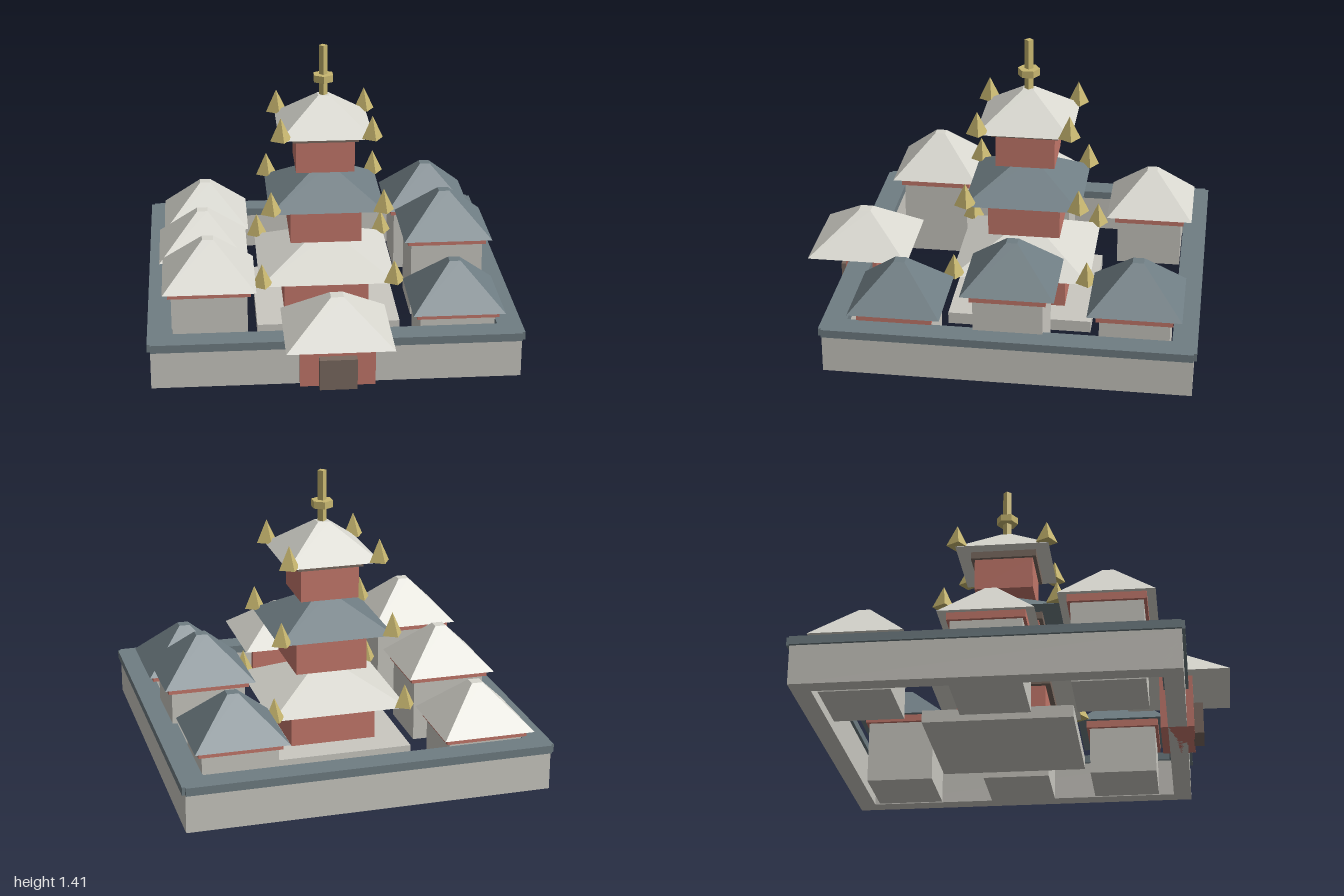
import * as THREE from 'three';

export function createModel() {
  const model = new THREE.Group();
  model.name = 'templeCompound';

  const material = (name, color) => {
    const m = new THREE.MeshStandardMaterial({ color });
    m.name = name;
    m.flatShading = true;
    return m;
  };
  const stone = material('stone', 0xcac8c1);
  const paleTile = material('paleTile', 0xd8d7cf);
  const slateTile = material('slateTile', 0x6f7d83);
  const redWall = material('redWall', 0xc4786b);
  const darkWood = material('darkWood', 0x7b6a60);
  const gold = material('gold', 0xc8b770);

  const CZ = -0.1; // centre of the courtyard

  function add(parent, name, geometry, mat, x, y, z) {
    const mesh = new THREE.Mesh(geometry, mat);
    mesh.name = name;
    mesh.position.set(x, y, z);
    parent.add(mesh);
    return mesh;
  }

  // Box standing on height y
  const block = (parent, name, mat, w, h, d, x, y, z) =>
    add(parent, name, new THREE.BoxGeometry(w, h, d), mat, x, y + h / 2, z);

  // Square hipped roof with a small flat top, its eaves at height y
  function hipRoof(parent, mat, half, h, x, y, z) {
    const r = half * Math.SQRT2;
    const geo = new THREE.CylinderGeometry(r * 0.12, r, h, 4).rotateY(Math.PI / 4);
    return add(parent, 'roof', geo, mat, x, y + h / 2, z);
  }

  function group(name, x, z) {
    const g = new THREE.Group();
    g.name = name;
    g.position.set(x, 0, z);
    model.add(g);
    return g;
  }

  // Perimeter wall with tiled coping
  const perimeter = group('perimeterWall', 0, CZ);
  for (const s of [-1, 1]) {
    block(perimeter, 'wall', stone, 1.77, 0.19, 0.09, 0, 0, s * 0.84);
    block(perimeter, 'wall', stone, 0.09, 0.19, 1.77, s * 0.84, 0, 0);
    block(perimeter, 'wallCoping', slateTile, 1.77, 0.04, 0.12, 0, 0.19, s * 0.84);
    block(perimeter, 'wallCoping', slateTile, 0.12, 0.04, 1.77, s * 0.84, 0.19, 0);
  }

  // Gatehouse
  const gate = group('gatehouse', 0, 0.74);
  block(gate, 'gateBody', redWall, 0.36, 0.26, 0.16, 0, 0, 0);
  block(gate, 'gateDoor', darkWood, 0.18, 0.155, 0.05, 0, 0, 0.1);
  hipRoof(gate, paleTile, 0.255, 0.18, 0, 0.26, 0.005);

  // Three-tier tower on a plinth
  const tower = group('tower', 0, CZ);
  block(tower, 'plinth', stone, 0.72, 0.06, 0.72, 0, 0, 0);
  const tiers = [
    { body: 0.215, eave: 0.24, roof: 0.345, finial: 0.332, mat: paleTile },
    { body: 0.18, eave: 0.2, roof: 0.29, finial: 0.28, mat: slateTile },
    { body: 0.147, eave: 0.165, roof: 0.235, finial: 0.226, mat: paleTile },
  ];
  tiers.forEach((t, i) => {
    const y = 0.06 + i * 0.365;
    block(tower, 'tierBody', redWall, t.body * 2, 0.165, t.body * 2, 0, y, 0);
    block(tower, 'eaveBand', darkWood, t.eave * 2, 0.036, t.eave * 2, 0, y + 0.164, 0);
    hipRoof(tower, t.mat, t.roof, 0.165, 0, y + 0.2, 0);
    // Golden finials on the roof corners
    for (const sx of [-1, 1]) for (const sz of [-1, 1]) {
      const cone = new THREE.ConeGeometry(0.055, 0.115, 4).rotateY(0.25);
      add(tower, 'cornerFinial', cone, gold, sx * t.finial, y + 0.263, sz * t.finial);
    }
  });

  // Spire with a ring
  add(tower, 'spire', new THREE.CylinderGeometry(0.022, 0.022, 0.27, 4), gold, 0, 1.275, 0);
  add(tower, 'spireRing', new THREE.CylinderGeometry(0.055, 0.055, 0.036, 6), gold, 0, 1.243, 0);

  // Side halls: x, z and eave height
  const halls = [
    [0.6, 0.45, 0.275], [0.62, -0.1, 0.425], [0.6, -0.7, 0.35],
    [-0.6, 0.45, 0.425], [-0.62, -0.1, 0.35], [-0.6, -0.7, 0.275],
  ];
  for (const [x, z, eave] of halls) {
    const hall = group('sideHall', x, z);
    block(hall, 'hallBody', stone, 0.365, eave - 0.035, 0.335, 0, 0, 0);
    block(hall, 'hallBand', redWall, 0.4, 0.036, 0.365, 0, eave - 0.036, 0);
    hipRoof(hall, x > 0 ? slateTile : paleTile, 0.224, 0.2, 0, eave, 0);
  }

  return model;
}
